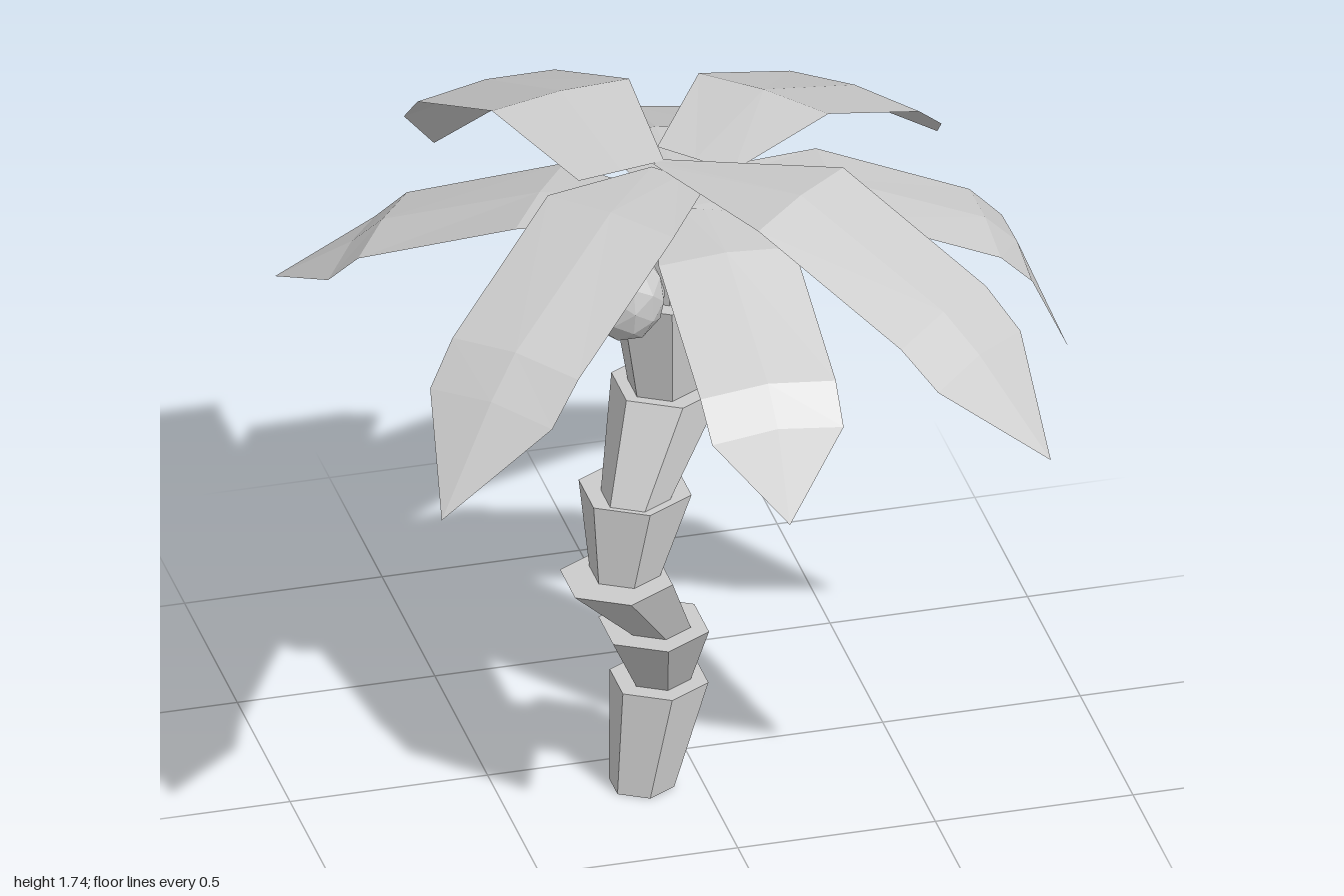
import * as THREE from 'three';

const grey = new THREE.MeshStandardMaterial({ color: 0xcccccc, flatShading: true });
const thin = new THREE.MeshStandardMaterial({ color: 0xcccccc, flatShading: true, side: THREE.DoubleSide });

// Hexagonal cup, wider at the top, sheared from its bottom centre to its top centre
function trunkSegment([y0, x0, z0, r0, y1, x1, z1, r1]) {
  const h = y1 - y0;
  const geo = new THREE.CylinderGeometry(r1, r0, h, 6);
  const shear = new THREE.Matrix4().set(
    1, (x1 - x0) / h, 0, (x0 + x1) / 2,
    0, 1, 0, (y0 + y1) / 2,
    0, (z1 - z0) / h, 1, (z0 + z1) / 2,
    0, 0, 0, 1);
  geo.applyMatrix4(shear);
  return new THREE.Mesh(geo, grey);
}

// Drooping leaf: sections of left edge, ridge and right edge from root to pointed tip
function leaf({ root, tip, back, rootHalf, half, heights }) {
  const a = new THREE.Vector2(...root), b = new THREE.Vector2(...tip);
  const length = a.distanceTo(b);
  const dir = b.clone().sub(a).divideScalar(length);
  const along = [0, ...back.map((d) => length - d), length];
  const halves = [rootHalf, half, half, half * 0.97, 0];
  const ridge = [0, 0.012, 0.018, 0.02, 0];
  const pos = [], index = [];
  along.forEach((d, i) => {
    for (const s of [-1, 0, 1]) {
      pos.push(
        a.x + dir.x * d - dir.y * halves[i] * s,
        heights[i] + (s === 0 ? ridge[i] : 0),
        a.y + dir.y * d + dir.x * halves[i] * s);
    }
  });
  for (let i = 0; i < along.length - 1; i++) {
    for (let k = 0; k < 2; k++) {
      const p = i * 3 + k;
      index.push(p, p + 1, p + 3);
      if (i < along.length - 2) index.push(p + 1, p + 4, p + 3);
    }
  }
  const geo = new THREE.BufferGeometry();
  geo.setAttribute('position', new THREE.Float32BufferAttribute(pos, 3));
  geo.setIndex(index);
  geo.computeVertexNormals();
  return new THREE.Mesh(geo, thin);
}

export function createModel() {
  const palm = new THREE.Group();
  palm.name = 'palmTree';
  const addGroup = (name) => {
    const g = new THREE.Group();
    g.name = name;
    palm.add(g);
    return g;
  };

  // Crooked trunk: bottom y, x, z, radius, then top y, x, z, radius
  const trunk = addGroup('trunk');
  [
    [0, -0.145, 0.13, 0.083, 0.27, -0.09, 0.09, 0.125],
    [0.27, -0.088, 0.085, 0.08, 0.455, -0.12, 0.152, 0.14],
    [0.455, -0.11, 0.148, 0.085, 0.655, -0.238, 0.24, 0.143],
    [0.655, -0.21, 0.215, 0.09, 0.86, -0.172, 0.17, 0.143],
    [0.86, -0.18, 0.205, 0.088, 1.09, -0.062, 0.068, 0.143],
    [1.09, -0.078, 0.083, 0.09, 1.36, -0.09, 0.09, 0.125],
    [1.36, -0.085, 0.085, 0.085, 1.63, -0.08, 0.085, 0.115],
  ].forEach((s, i) => {
    const mesh = trunkSegment(s);
    mesh.name = 'trunkSegment' + (i + 1);
    trunk.add(mesh);
  });

  // Leaves in two tiers; root and tip are [x, z], back holds distances from the tip
  const lower = (tipY) => [1.65, 1.625, 1.46, 1.38, tipY];
  const upper = (tipY) => [1.7, 1.73, 1.53, 1.44, tipY];
  const leaves = addGroup('leaves');
  [
    { name: 'leftLeaf', root: [-0.06, 0.12], tip: [0.93, 0.155], back: [0.595, 0.21, 0.13], rootHalf: 0.08, half: 0.172, heights: lower(1.08) },
    { name: 'frontLeaf', root: [-0.01, 0.07], tip: [0, 0.995], back: [0.58, 0.2, 0.11], rootHalf: 0.08, half: 0.172, heights: lower(1.19) },
    { name: 'backLeaf', root: [-0.04, 0.1], tip: [0.04, -0.89], back: [0.67, 0.29, 0.165], rootHalf: 0.08, half: 0.165, heights: lower(1.19) },
    { name: 'backRightLeaf', root: [-0.15, 0.17], tip: [-0.935, -0.385], back: [0.69, 0.28, 0.2], rootHalf: 0.08, half: 0.172, heights: lower(1.26) },
    { name: 'frontLeftLeaf', root: [-0.085, 0.05], tip: [0.68, 0.92], back: [0.735, 0.315, 0.21], rootHalf: 0.015, half: 0.187, heights: upper(1.23) },
    { name: 'frontRightLeaf', root: [-0.05, 0.13], tip: [-0.835, 0.82], back: [0.745, 0.325, 0.218], rootHalf: 0.08, half: 0.185, heights: upper(1.23) },
    { name: 'backLeftLeaf', root: [0.01, 0.06], tip: [0.825, -0.7], back: [0.8, 0.38, 0.27], rootHalf: 0.11, half: 0.187, heights: upper(1.23) },
    { name: 'farBackLeaf', root: [-0.18, 0.07], tip: [-0.37, -0.995], back: [0.73, 0.3, 0.21], rootHalf: 0.115, half: 0.185, heights: upper(1.21) },
  ].forEach((spec) => {
    const mesh = leaf(spec);
    mesh.name = spec.name;
    leaves.add(mesh);
  });

  // Coconuts under the crown
  const coconuts = addGroup('coconuts');
  [
    [-0.235, 1.49, 0.31],
    [0.14, 1.5, -0.01],
    [-0.15, 1.5, -0.02],
    [0.12, 1.44, 0.27],
  ].forEach(([x, y, z], i) => {
    const nut = new THREE.Mesh(new THREE.IcosahedronGeometry(0.1, 1), grey);
    nut.name = 'coconut' + (i + 1);
    nut.scale.set(1, 1.17, 1);
    nut.position.set(x, y, z);
    coconuts.add(nut);
  });

  return palm;
}
